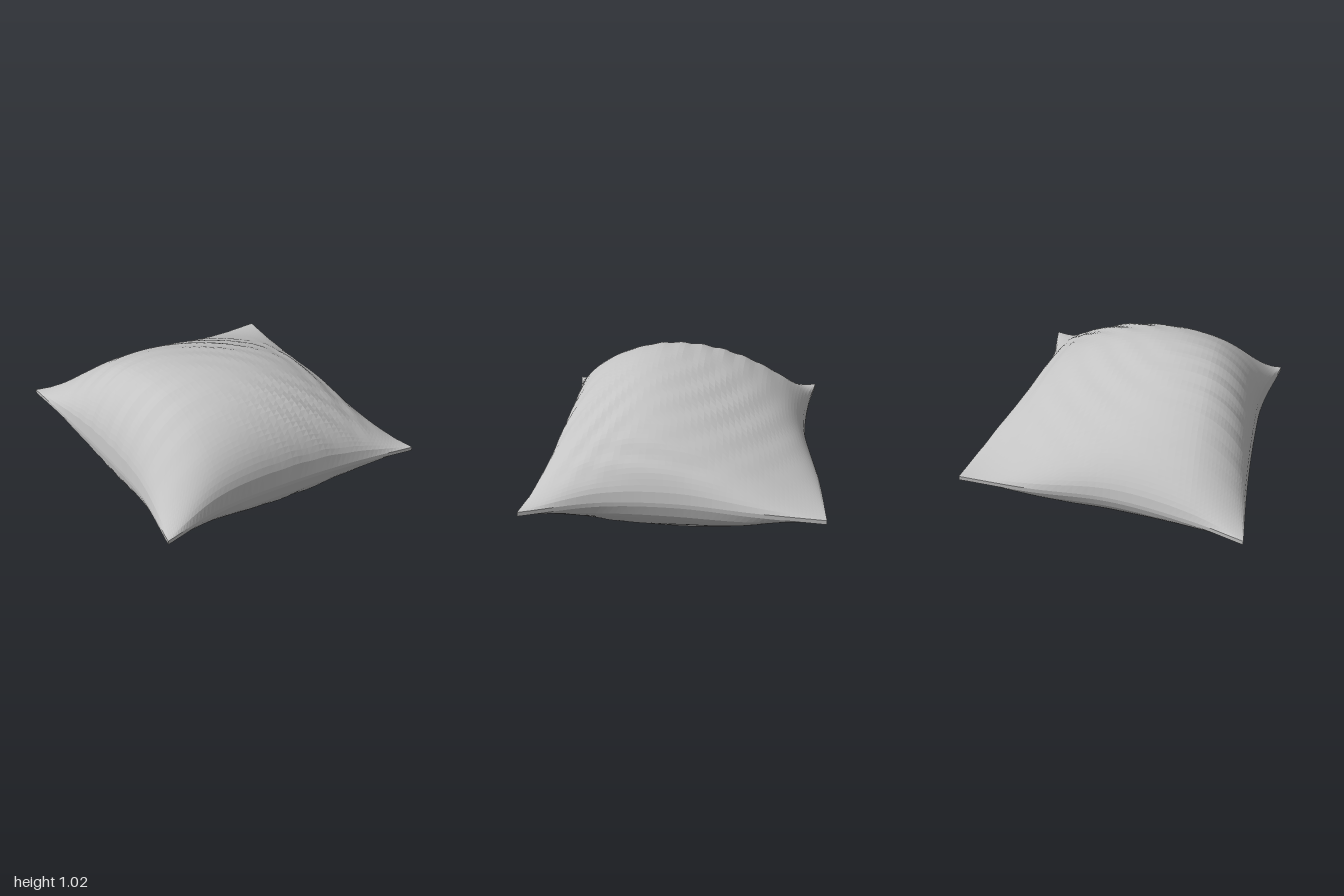
import * as THREE from 'three';

const N = 56;          // grid cells per side
const RIM = 0.015;     // half thickness of the seam

const curve = (pts) => new THREE.CatmullRomCurve3(pts.map((p) => new THREE.Vector3(...p)));

// Seam outline, corner to corner
const BL = [-1, 0.43, -1], BR = [0.94, 0.415, -0.95], FR = [0.99, 0.415, 1], FL = [-0.92, 0.47, 0.93];
const back = curve([BL, [-0.65, 0.43, -0.925], [-0.1, 0.425, -0.87], [0.45, 0.42, -0.93], BR]);
const front = curve([FL, [-0.5, 0.48, 0.87], [0.02, 0.45, 0.87], [0.5, 0.425, 0.91], FR]);
const left = curve([BL, [-0.93, 0.43, -0.5], [-0.88, 0.44, 0], [-0.86, 0.45, 0.45], FL]);
const right = curve([BR, [0.91, 0.425, -0.5], [0.85, 0.43, 0], [0.86, 0.425, 0.5], FR]);

// Weighted mix of four corner values
const mix4 = (u, v, bl, br, fl, fr) =>
  (1 - v) * ((1 - u) * bl + u * br) + v * ((1 - u) * fl + u * fr);

// Point of the flat sheet spanned by the four seam curves
function sheetPoint(u, v) {
  const p = new THREE.Vector3()
    .addScaledVector(back.getPoint(u), 1 - v)
    .addScaledVector(front.getPoint(u), v)
    .addScaledVector(left.getPoint(v), 1 - u)
    .addScaledVector(right.getPoint(v), u);
  const corner = (k) => mix4(u, v, BL[k], BR[k], FL[k], FR[k]);
  return p.sub(new THREE.Vector3(corner(0), corner(1), corner(2)));
}

// Rounded swell from 0 at both ends to 1 at the peak; a larger power is steeper inside, softer at the seam
function swell(t, peak, powerBefore, powerAfter) {
  const before = t < peak;
  const w = (t - peak) / (before ? peak : 1 - peak);
  return Math.max(0, 1 - w * w) ** (before ? powerBefore : powerAfter);
}

const bump = (x, z, cx, cz, rx, rz) => Math.exp(-(((x - cx) / rx) ** 2) - ((z - cz) / rz) ** 2);

// Gathers at the left seam, slanted folds in front, creases by the right seam, wide arcs behind
function wrinkles(x, z) {
  return 0.01 * Math.sin(40 * z + 2 * x) * bump(x, z, -0.9, -0.1, 0.45, 0.5)
    + 0.009 * Math.sin(34 * (z - 0.8 * x)) * bump(x, z, 0.3, 0.68, 0.4, 0.3)
    + 0.008 * Math.sin(42 * x + 5 * z) * bump(x, z, 0.72, 0.15, 0.18, 0.5)
    + 0.005 * Math.sin(32 * Math.hypot(x + 0.6, z - 0.6)) * bump(x, z, 0.2, -0.3, 0.45, 0.5);
}

// Cells get finer toward the seam
const spread = (i) => {
  const t = i / N;
  return 0.5 * t + 0.25 * (1 - Math.cos(Math.PI * t));
};

// Filling of the cushion: thin corners, fullest in front, sagging at back right on top
function filling(u, v, side) {
  const reach = Math.abs((2 * u - 1) * (2 * v - 1));
  if (side > 0) {
    const thin = 1 - reach ** mix4(u, v, 1.7, 1.6, 3, 2.6);
    const sag = 1 - 0.42 * bump(u, v, 0.9, 0.1, 0.43, 0.43);
    return 0.582 * swell(u, 0.45, 0.5, 0.56) * swell(v, 0.57, 0.58, 0.5) * thin * sag;
  }
  const thin = 1 - reach ** mix4(u, v, 1.8, 2, 2.2, 3);
  return 0.432 * swell(u, 0.52, 0.52, 0.52) * swell(v, 0.57, 0.6, 0.52) * thin;
}

function surfacePoint(i, j, side) {
  const u = spread(i), v = spread(j);
  const p = sheetPoint(u, v);
  const fill = filling(u, v, side);
  const height = fill + wrinkles(p.x, p.z) * Math.min(1, 6 * fill);
  p.y = Math.max(0, p.y + side * (RIM + Math.max(0, height)));
  return p;
}

function gridGeometry(rows, flip) {
  const w = rows[0].length, index = [];
  for (let j = 0; j < rows.length - 1; j++) {
    for (let i = 0; i < w - 1; i++) {
      const a = j * w + i, b = a + 1, c = a + w, d = c + 1;
      index.push(...(flip ? [a, b, c, b, d, c] : [a, c, b, b, c, d]));
    }
  }
  const g = new THREE.BufferGeometry().setFromPoints(rows.flat());
  g.setIndex(index);
  g.computeVertexNormals();
  return g;
}

export function createModel() {
  const group = new THREE.Group();
  group.name = 'pillow';
  const fabric = new THREE.MeshStandardMaterial({ color: 0xc4c4c4 });
  fabric.name = 'grey fabric';
  fabric.flatShading = true;

  const addPart = (name, geometry) => {
    const mesh = new THREE.Mesh(geometry, fabric);
    mesh.name = name;
    group.add(mesh);
  };

  // Upper and lower cloth
  const steps = Array.from({ length: N + 1 }, (_, i) => i);
  const cloth = (side) => steps.map((j) => steps.map((i) => surfacePoint(i, j, side)));
  const top = cloth(1), bottom = cloth(-1);
  addPart('upperCloth', gridGeometry(top, false));
  addPart('lowerCloth', gridGeometry(bottom, true));

  // Narrow seam band around the outline
  const border = (rows) => [
    ...rows[N],
    ...steps.map((k) => rows[N - k][N]),
    ...steps.map((k) => rows[0][N - k]),
    ...steps.map((k) => rows[k][0]),
  ];
  addPart('seamBand', gridGeometry([border(top), border(bottom)], false));
  return group;
}
